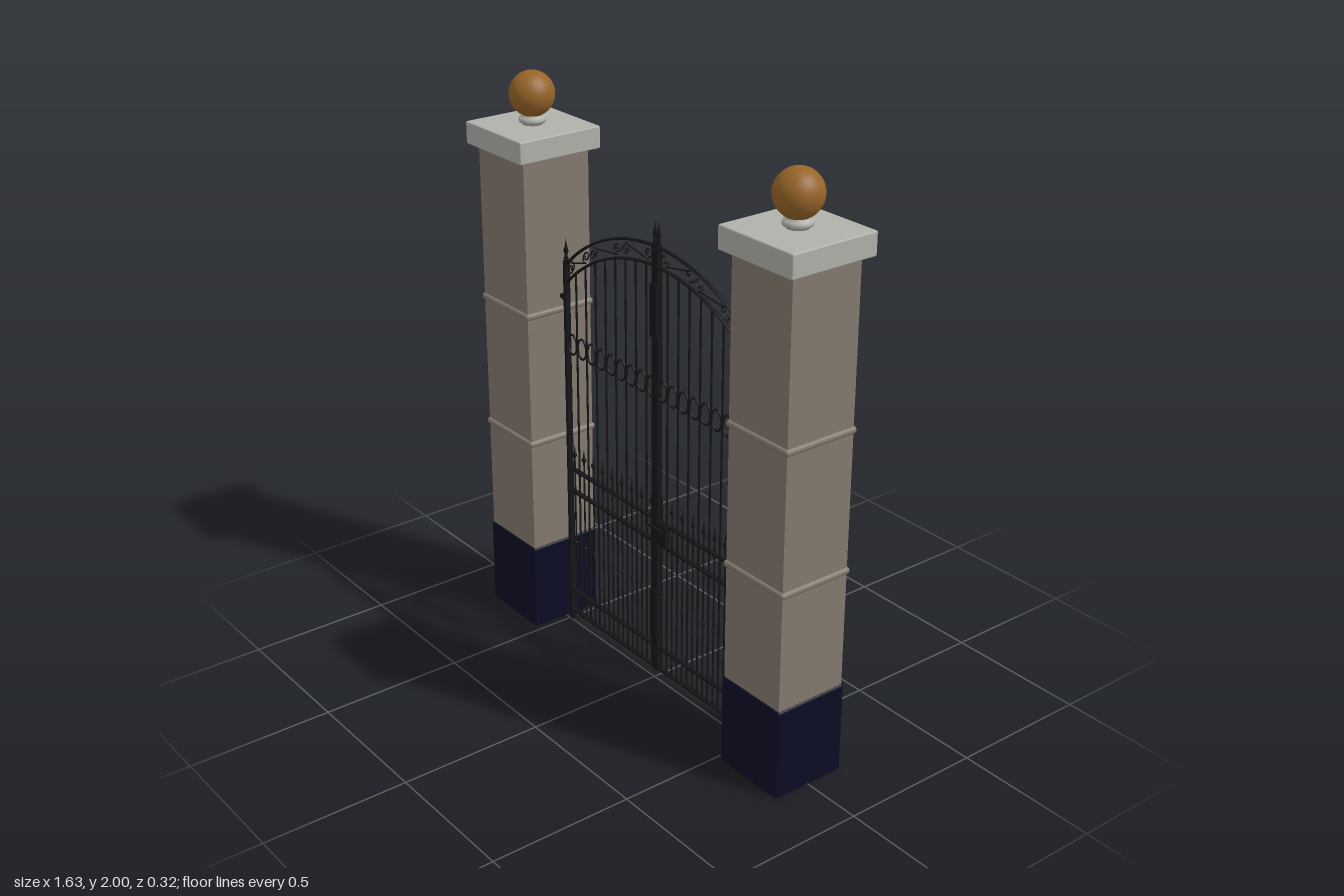
import * as THREE from 'three';
import { RoundedBoxGeometry } from 'three/addons/geometries/RoundedBoxGeometry.js';

const mat = (name, color) => {
  const m = new THREE.MeshStandardMaterial({ color });
  m.name = name;
  return m;
};

export function createModel() {
  const stone = mat('brown stone', 0x837a6e);
  const pale = mat('pale stone', 0xb0b1aa);
  const navy = mat('dark navy base', 0x0c0c24);
  const bronze = mat('bronze', 0x976428);
  const iron = mat('black iron', 0x161618);

  const model = new THREE.Group();
  model.name = 'gateway';
  const add = (parent, name, geo, material, x = 0, y = 0, z = 0) => {
    const m = new THREE.Mesh(geo, material);
    m.name = name;
    m.position.set(x, y, z);
    parent.add(m);
    return m;
  };
  const block = (w, h, r) => new RoundedBoxGeometry(w, h, w, 2, r);
  const lathe = (pts, seg) => new THREE.LatheGeometry(pts.map(p => new THREE.Vector2(...p)), seg);

  // Stone pillars with caps and balls
  for (const s of [-1, 1]) {
    const p = new THREE.Group();
    p.name = s > 0 ? 'leftPillar' : 'rightPillar';
    p.position.x = s * 0.655;
    add(p, 'base', block(0.272, 0.32, 0.008), navy, 0, 0.16);
    add(p, 'shaft', new THREE.BoxGeometry(0.26, 1.44, 0.26), stone, 0, 1.03);
    for (const y of [0.728, 1.202]) add(p, 'band', new RoundedBoxGeometry(0.278, 0.024, 0.278, 3, 0.011), stone, 0, y);
    add(p, 'cap', block(0.32, 0.077, 0.005), pale, 0, 1.783);
    add(p, 'neck', lathe([[0, 1.815], [0.035, 1.815], [0.035, 1.824], [0.045, 1.83], [0.047, 1.838],
      [0.043, 1.847], [0.03, 1.851], [0.03, 1.87], [0, 1.87]], 24), pale);
    add(p, 'ball', new THREE.SphereGeometry(0.077, 32, 20), bronze, 0, 1.923);
    model.add(p);
  }

  // Gate arch: both curves share one radius
  const R = 0.7, TOP = 1.574, GAP = 0.066, EDGE = 0.493;
  const archY = (x, top) => top - R + Math.sqrt(R * R - x * x);
  const box = (g, name, x0, x1, y0, y1, d, z = 0) =>
    add(g, name, new THREE.BoxGeometry(Math.abs(x1 - x0), y1 - y0, d), iron, (x0 + x1) / 2, (y0 + y1) / 2, z);
  const rod = (g, name, x, y0, y1, r) =>
    add(g, name, new THREE.CylinderGeometry(r, r, y1 - y0, 8), iron, x, (y0 + y1) / 2);
  const finial = lathe([[0.005, 0], [0.009, 0.008], [0.005, 0.016], [0.005, 0.022], [0.009, 0.034], [0.004, 0.052], [0, 0.078]], 8);
  const spear = lathe([[0.003, 0], [0.008, 0.008], [0.008, 0.014], [0.003, 0.022], [0.003, 0.03], [0, 0.052]], 8);
  const knot = new THREE.SphereGeometry(0.007, 8, 6);
  const oval = new THREE.TorusGeometry(0.025, 0.0028, 6, 28);
  oval.scale(0.95, 1.45, 1.4);

  // Point in the arch band: x along the gate, v across the band
  const bandPoint = (x, v) => {
    const cx = Math.max(-0.49, Math.min(0.49, x));
    return new THREE.Vector3(cx, archY(cx, TOP - GAP / 2) + v, 0);
  };
  // S-scroll: a spiral at each end joined by a sweeping stem
  const scroll = (xa, xb) => {
    const pts = [], dir = Math.sign(xb - xa), n = 22, turns = Math.PI * 3;
    for (let i = 0; i <= n; i++) {
      const a = (i / n) * turns, r = 0.005 + 0.016 * (i / n);
      pts.push(bandPoint(xa + dir * r * Math.sin(a), -r * Math.cos(a)));
    }
    for (let i = n; i >= 0; i--) {
      const a = (i / n) * turns, r = 0.005 + 0.016 * (i / n);
      pts.push(bandPoint(xb - dir * r * Math.sin(a), r * Math.cos(a)));
    }
    return new THREE.TubeGeometry(new THREE.CatmullRomCurve3(pts), 90, 0.0026, 5);
  };

  // Two mirrored leaves
  for (const s of [-1, 1]) {
    const g = new THREE.Group();
    g.name = s > 0 ? 'leftLeaf' : 'rightLeaf';
    g.position.z = -0.01;

    box(g, 'hingeStile', s * 0.487, s * 0.499, 0, 1.385, 0.02);
    add(g, 'hingeFinial', finial, iron, s * EDGE, 1.385);
    box(g, 'meetingStile', s * 0.003, s * 0.015, 0.028, 1.58, 0.02);
    add(g, 'meetingFinial', finial, iron, s * 0.009, 1.58);

    // Hinge pin reaching into the pillar
    box(g, 'hinge', s * 0.485, s * 0.527, 1.245, 1.257, 0.014);
    rod(g, 'hingeKnuckle', s * 0.507, 1.24, 1.262, 0.008);

    for (const y of [0.037, 0.121, 0.527, 0.612]) box(g, 'rail', s * 0.009, s * EDGE, y - 0.004, y + 0.004, 0.016);

    // Curved top rails
    for (const top of [TOP, TOP - GAP]) {
      const pts = [];
      for (let i = 0; i <= 16; i++) {
        const x = s * EDGE * i / 16;
        pts.push(new THREE.Vector3(x, archY(x, top), 0));
      }
      const arch = new THREE.TubeGeometry(new THREE.CatmullRomCurve3(pts), 32, 0.0045, 6);
      arch.scale(1, 1, 1.8);
      add(g, 'archRail', arch, iron);
    }
    for (const [a, b] of [[0.466, 0.378], [0.338, 0.206], [0.166, 0.04]]) add(g, 'scroll', scroll(s * a, s * b), iron);

    // Long bars, with short spear bars and ovals between them
    const step = EDGE / 9;
    for (let i = 0; i < 9; i++) {
      const x = s * step * (i + 0.5);
      if (i) rod(g, 'longBar', s * step * i, 0.037, archY(step * i, TOP - GAP), 0.0036);
      rod(g, 'shortBar', x, 0.037, 0.662, 0.003);
      add(g, 'spear', spear, iron, x, 0.66);
      add(g, 'knot', knot, iron, x, 0.323);
      add(g, 'oval', oval, iron, x, 1.088);
    }
    model.add(g);
  }

  // Cover plates, lock and handle where the leaves meet
  const lock = new THREE.Group();
  lock.name = 'lock';
  for (const [a, b] of [[0.16, 0.345], [1.27, 1.452]]) box(lock, 'coverPlate', -0.017, 0.012, a, b, 0.006, 0.003);
  box(lock, 'meetingStrip', -0.006, 0.006, 0.03, 1.57, 0.006, -0.003);
  box(lock, 'lockCase', 0.012, 0.062, 0.53, 0.612, 0.02, -0.006);
  for (const z of [-0.024, 0.009]) {
    box(lock, 'handle', -0.022, 0.055, 0.586, 0.594, 0.006, z);
  }
  const spindle = add(lock, 'spindle', new THREE.CylinderGeometry(0.004, 0.004, 0.04, 8), iron, 0.035, 0.59, -0.007);
  spindle.rotation.x = Math.PI / 2;
  model.add(lock);

  return model;
}
